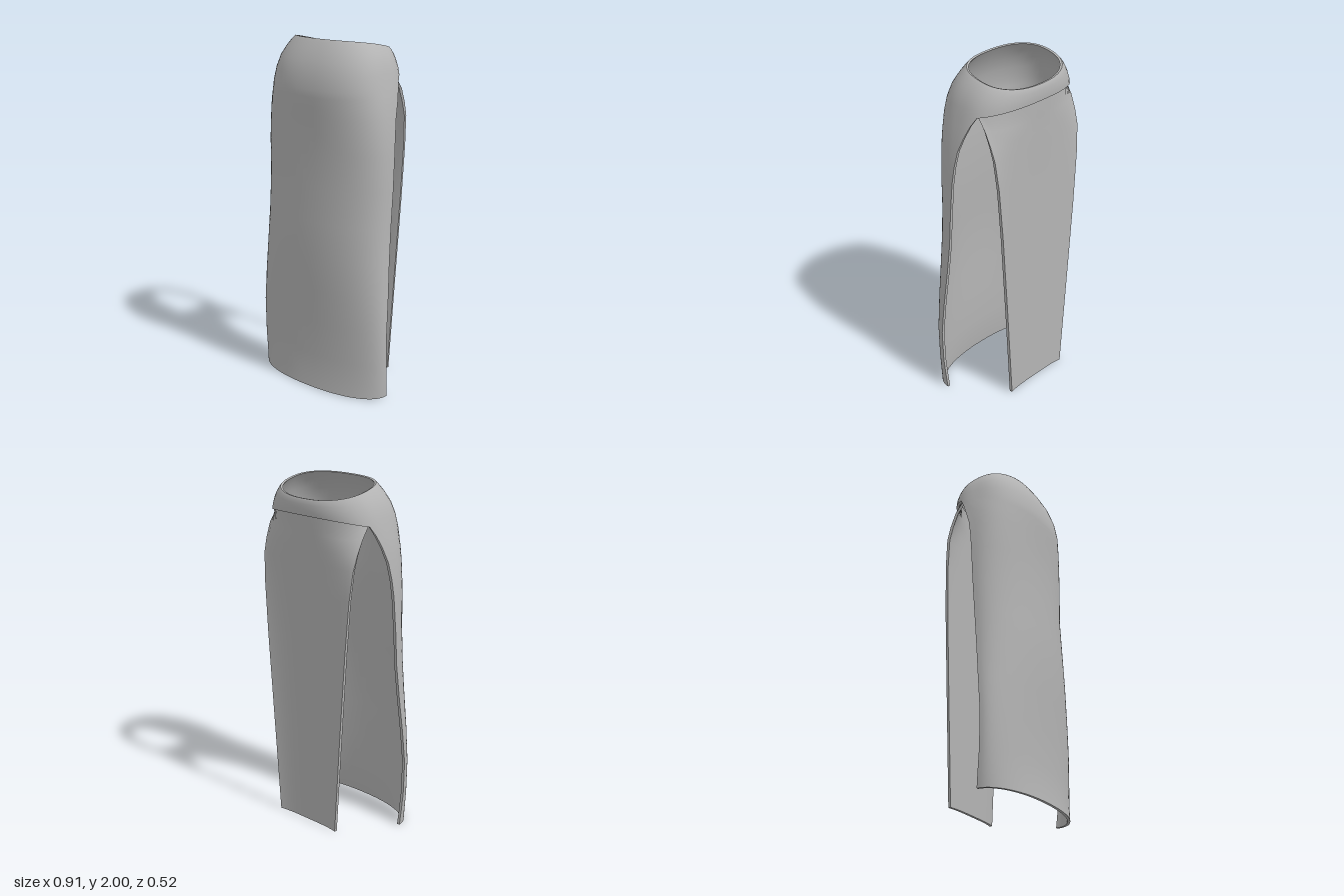
import * as THREE from 'three';
import { mergeVertices, mergeGeometries } from 'three/addons/utils/BufferGeometryUtils.js';

const THICKNESS = 0.016;
const SEG = 36;

// Ring point at angle a (0 = front). Row: y front, y back, half width, z front, z back, z of widest point, roundness
function ringPoint([yF, yB, w, zf, zb, zc, e], a) {
  const s = Math.sin(a), c = Math.cos(a);
  const x = w * Math.sign(s) * Math.abs(s) ** e;
  const z = zc + (c > 0 ? zf - zc : zb - zc) * Math.abs(c) ** e;
  const t = Math.max(0, (zf - z) / (zf - zb));
  return new THREE.Vector3(x, yF + (yB - yF) * t ** 1.5, z);
}

// Angle at which a ring reaches the slit edge
function edgeAngle(row, ze) {
  const k = Math.max(0, (row[5] - ze) / (row[5] - row[4]));
  return Math.PI / 2 + Math.asin(k ** (1 / row[6]));
}

// Rows of points, top to bottom, to a plain triangle geometry
function grid(rows) {
  const pos = [], index = [], n = rows[0].length;
  rows.forEach((row) => row.forEach((p) => pos.push(p.x, p.y, p.z)));
  for (let r = 0; r < rows.length - 1; r++) {
    for (let c = 0; c < n - 1; c++) {
      const a = r * n + c, b = a + n;
      index.push(a, b, b + 1, a, b + 1, a + 1);
    }
  }
  const g = new THREE.BufferGeometry();
  g.setAttribute('position', new THREE.Float32BufferAttribute(pos, 3));
  g.setIndex(index);
  return g;
}

// Gives cloth thickness: outer skin, inner skin and a wall along every open edge
function shell(parts) {
  const outer = mergeVertices(mergeGeometries(parts), 1e-4);
  outer.computeVertexNormals();
  const inner = outer.clone();
  const p = outer.attributes.position, n = outer.attributes.normal;
  for (let i = 0; i < p.count; i++) {
    const nx = n.getX(i), ny = n.getY(i), nz = n.getZ(i);
    inner.attributes.position.setXYZ(i, p.getX(i) - nx * THICKNESS, p.getY(i) - ny * THICKNESS * 0.3, p.getZ(i) - nz * THICKNESS);
  }
  const idx = Array.from(outer.index.array), flipped = [], edges = new Map();
  for (let i = 0; i < idx.length; i += 3) {
    flipped.push(idx[i], idx[i + 2], idx[i + 1]);
    for (let k = 0; k < 3; k++) {
      const a = idx[i + k], b = idx[i + (k + 1) % 3];
      edges.set(a + '_' + b, [a, b]);
    }
  }
  inner.setIndex(flipped);
  inner.computeVertexNormals();
  const wall = [], wallIndex = [];
  const put = (g, i) => wall.push(...new THREE.Vector3().fromBufferAttribute(g.attributes.position, i).toArray());
  edges.forEach(([a, b]) => {
    if (edges.has(b + '_' + a)) return;
    const k = wall.length / 3;
    put(outer, b); put(outer, a); put(inner, a); put(inner, b);
    wallIndex.push(k, k + 1, k + 2, k, k + 2, k + 3);
  });
  const rim = new THREE.BufferGeometry();
  rim.setAttribute('position', new THREE.Float32BufferAttribute(wall, 3));
  rim.setIndex(wallIndex);
  rim.computeVertexNormals();
  return mergeGeometries([outer, inner, rim]);
}

const spread = (n, from, to) => Array.from({ length: n + 1 }, (_, i) => from + (to - from) * i / n);

export function createModel() {
  const model = new THREE.Group();
  model.name = 'slitSkirt';
  const cloth = new THREE.MeshStandardMaterial({ color: 0xb4b4b4 });
  cloth.name = 'greyCloth';

  // Waist yoke: closed rings tilted down toward the back
  const yoke = [
    [2.0, 1.92, 0.283, 0.14, -0.25, -0.06, 0.86],
    [1.985, 1.91, 0.296, 0.152, -0.256, -0.055, 0.85],
    [1.945, 1.89, 0.32, 0.178, -0.259, -0.04, 0.83],
    [1.89, 1.87, 0.343, 0.208, -0.26, -0.02, 0.81],
    [1.82, 1.85, 0.36, 0.234, -0.26, -0.01, 0.8],
    [1.74, 1.83, 0.374, 0.247, -0.258, 0, 0.8],
  ];
  const hip = yoke[yoke.length - 1];
  const apex = edgeAngle(hip, -0.12);
  const around = [...spread(SEG, -apex, apex), ...spread(16, apex, 2 * Math.PI - apex).slice(1)];
  const yokeGrid = grid(yoke.map((row) => around.map((a) => ringPoint(row, a))));

  // Front panel: y at front, y at back, half width, front z, slit edge z
  const front = [
    [1.70, 1.78, 0.385, 0.247, -0.09],
    [1.65, 1.70, 0.397, 0.245, -0.06],
    [1.59, 1.60, 0.408, 0.242, -0.03],
    [1.5, 1.5, 0.418, 0.238, -0.012],
    [1.4, 1.4, 0.425, 0.235, 0],
    [1.2, 1.2, 0.43, 0.236, 0.015],
    [1.0, 1.0, 0.43, 0.246, 0.03],
    [0.8, 0.8, 0.438, 0.25, 0.05],
    [0.6, 0.6, 0.45, 0.246, 0.07],
    [0.4, 0.4, 0.457, 0.24, 0.088],
    [0.2, 0.2, 0.455, 0.24, 0.085],
    [0.08, 0.08, 0.45, 0.247, 0.075],
    [0, 0, 0.445, 0.257, 0.068],
  ];
  const frontRows = front.map(([yF, yB, w, zf, ze]) => {
    const row = [yF, yB, w, zf, -0.258, Math.max(0, ze), yF > 1.3 ? 0.82 : 0.9];
    const end = edgeAngle(row, ze);
    return spread(SEG, -end, end).map((a) => ringPoint(row, a));
  });
  frontRows.unshift(spread(SEG, -apex, apex).map((a) => ringPoint(hip, a)));
  const body = new THREE.Mesh(shell([yokeGrid, grid(frontRows)]), cloth);
  body.name = 'waistAndFrontPanel';
  model.add(body);

  // Back panel, tucked under the yoke: y, half width, centre z, edge z
  const back = [
    [1.73, 0.338, -0.237, -0.165],
    [1.65, 0.333, -0.237, -0.2],
    [1.57, 0.327, -0.236, -0.225],
    [1.4, 0.312, -0.235, -0.24],
    [1.1, 0.29, -0.233, -0.246],
    [0.6, 0.255, -0.232, -0.246],
    [0, 0.215, -0.232, -0.244],
  ];
  const backRows = back.map(([y, w, zc, ze]) =>
    spread(24, 1, -1).map((s) => new THREE.Vector3(w * s, y, zc + (ze - zc) * Math.abs(s) ** 4)));
  const tuck = [hip[0], hip[1], 0.36, 0.23, -0.242, 0, 0.8];
  const tuckEnd = edgeAngle(tuck, -0.115);
  const tuckRow = spread(24, tuckEnd, 2 * Math.PI - tuckEnd).map((a) => ringPoint(tuck, a));
  const tuckTop = tuckRow.map((p) => new THREE.Vector3(p.x * 0.98, p.y + 0.03, p.z * 0.99));
  const backPanel = new THREE.Mesh(shell([grid([tuckTop, tuckRow, ...backRows])]), cloth);
  backPanel.name = 'backPanel';
  model.add(backPanel);

  return model;
}
